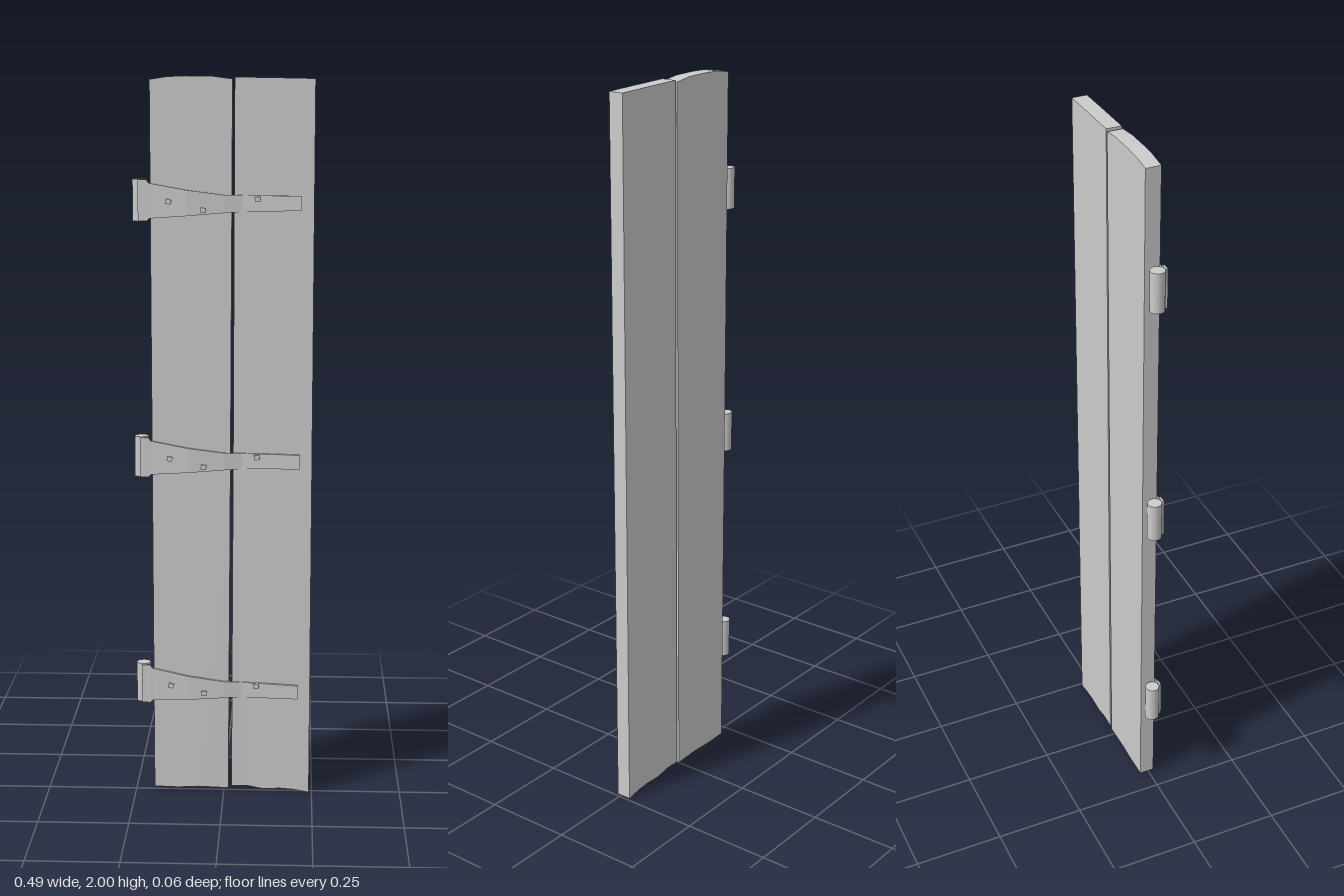
import * as THREE from 'three';

const wood = new THREE.MeshStandardMaterial({ color: 0xcccccc, flatShading: true });
const iron = new THREE.MeshStandardMaterial({ color: 0xcccccc, flatShading: true });
const ironSmooth = new THREE.MeshStandardMaterial({ color: 0xcccccc });

function add(parent, name, geometry, material, x = 0, y = 0, z = 0) {
  const mesh = new THREE.Mesh(geometry, material);
  mesh.name = name;
  mesh.position.set(x, y, z);
  parent.add(mesh);
  return mesh;
}

// A plank is its outline (with worn ends) pushed through the board thickness.
function plank(outline) {
  const shape = new THREE.Shape(outline.map(([x, y]) => new THREE.Vector2(x, y)));
  const geo = new THREE.ExtrudeGeometry(shape, { depth: 0.042, bevelEnabled: false });
  geo.translate(0, 0, -0.03);
  return geo;
}

// Strap stations: x, top offset, bottom offset, back z, front z
const STATIONS = [
  [-0.23, 0.055, -0.055, 0.012, 0.018],
  [-0.207, 0.055, -0.055, 0.013, 0.019],
  [-0.2, 0.046, -0.048, 0.013, 0.019],
  [-0.1, 0.028, -0.041, 0.017, 0.024],
  [0, 0.015, -0.033, 0.014, 0.02],
  [0.05, 0.014, -0.03, 0.009, 0.015],
  [0.208, 0.013, -0.026, 0.017, 0.027],
];

// A segmented box whose columns are moved onto the stations.
function strap(droop) {
  const n = STATIONS.length - 1;
  const geo = new THREE.BoxGeometry(n, 1, 1, n, 1, 1);
  const p = geo.attributes.position;
  for (let i = 0; i < p.count; i++) {
    const [x, top, bottom, back, front] = STATIONS[Math.round(p.getX(i) + n / 2)];
    const sag = droop * (x + 0.23) / 0.438;
    p.setXYZ(i, x, (p.getY(i) > 0 ? top : bottom) - sag, p.getZ(i) > 0 ? front : back);
  }
  geo.computeVertexNormals();
  return geo;
}

function hinge(y, droop) {
  const g = new THREE.Group();
  g.name = 'hinge';
  g.position.y = y;
  add(g, 'hingeBarrel', new THREE.CylinderGeometry(0.0195, 0.0195, 0.112, 24), ironSmooth, -0.227, 0, -0.009);
  add(g, 'hingeStrap', strap(droop), iron);
  // Nail heads along the strap
  for (const [x, dy, z] of [[-0.148, -0.003, 0.02], [-0.055, -0.025, 0.02], [0.091, 0.004 - droop / 2, 0.02]]) {
    add(g, 'nail', new THREE.BoxGeometry(0.015, 0.013, 0.014), iron, x, dy, z).rotation.z = x * 2;
  }
  return g;
}

export function createModel() {
  const model = new THREE.Group();
  model.name = 'plankShutter';

  add(model, 'rightPlank', plank([
    [-0.197, 0.012], [-0.13, 0.01], [-0.07, 0.013], [0.013, 0.01],
    [0.018, 0.9], [0.023, 1.992],
    [-0.03, 1.999], [-0.1, 2], [-0.15, 1.998], [-0.197, 1.991],
  ]), wood);

  add(model, 'leftPlank', plank([
    [0.022, 0.016], [0.07, 0.017], [0.11, 0.009], [0.16, 0.011], [0.2, 0.008], [0.242, 0],
    [0.242, 1.993], [0.15, 1.995], [0.029, 1.997], [0.026, 1],
  ]), wood);

  for (const [y, droop] of [[1.674, 0], [0.973, 0.002], [0.321, 0.012]]) model.add(hinge(y, droop));
  return model;
}
